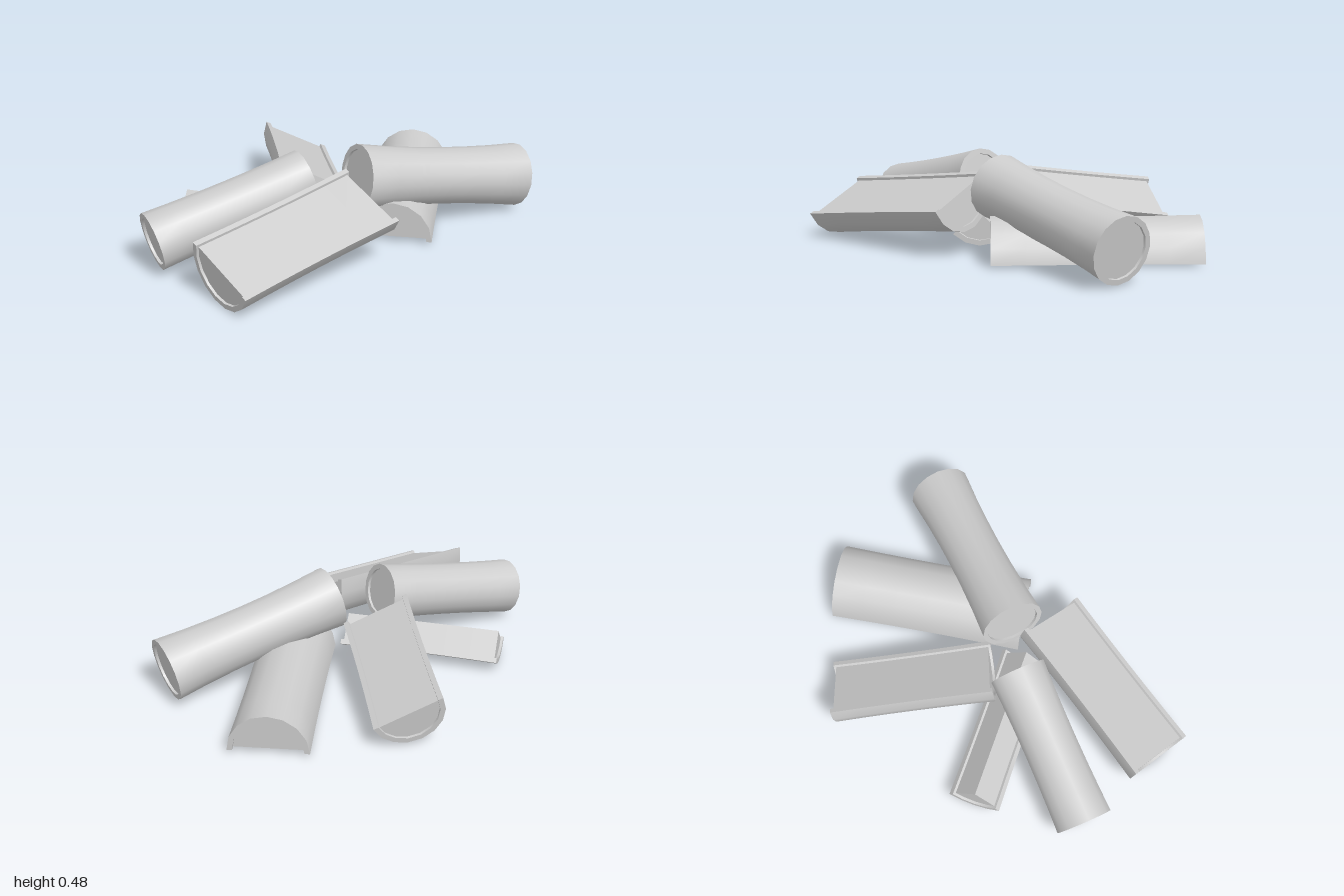
import * as THREE from 'three';
import { toCreasedNormals } from 'three/addons/utils/BufferGeometryUtils.js';

const BARK = 0.026; // bark thickness
const LIP = 0.013;  // how far the wood sits behind the bark edge

const wood = new THREE.MeshStandardMaterial({ color: 0xcccccc });
wood.name = 'plain grey';

const polar = (r, a) => new THREE.Vector2(r * Math.cos(a), r * Math.sin(a));

function arc(r, from, to, n) {
  return Array.from({ length: n + 1 }, (_, i) => polar(r, from + ((to - from) * i) / n));
}

// Extrude a profile along z and pinch it gently at the middle
function prism(shape, length, fullLength, waist) {
  const geo = new THREE.ExtrudeGeometry(shape, { depth: length, steps: 6, bevelEnabled: false });
  geo.translate(0, 0, -length / 2);
  const p = geo.attributes.position;
  for (let i = 0; i < p.count; i++) {
    const t = (2 * p.getZ(i)) / fullLength;
    const s = 1 - waist * (1 - t * t);
    p.setXY(i, p.getX(i) * s, p.getY(i) * s);
  }
  return toCreasedNormals(geo, 0.6);
}

// spread: angle of the split piece, centred below the split; 2 PI is a whole log
function makeLog({ name, from, to, up, r, spread, waist }) {
  const a = new THREE.Vector3(...from), b = new THREE.Vector3(...to);
  const length = a.distanceTo(b);
  const inner = r - BARK;
  const whole = spread > 6;
  let barkShape, coreShape;
  if (whole) {
    barkShape = new THREE.Shape(arc(r, 0, Math.PI * 2, 16).slice(0, -1));
    barkShape.holes.push(new THREE.Path(arc(inner, 0, Math.PI * 2, 16).slice(0, -1).reverse()));
    coreShape = new THREE.Shape(arc(inner + 0.002, 0, Math.PI * 2, 16).slice(0, -1));
  } else {
    const a0 = -Math.PI / 2 - spread / 2, a1 = a0 + spread;
    const n = Math.round(spread / (Math.PI / 8));
    barkShape = new THREE.Shape([...arc(r, a0, a1, n), ...arc(inner, a1, a0, n)]);
    const e = LIP / inner;
    const apex = new THREE.Vector2(0, -LIP / Math.sin(spread / 2));
    coreShape = new THREE.Shape([...arc(inner + 0.002, a0 + e, a1 - e, n), apex]);
  }

  const log = new THREE.Group();
  log.name = name;
  const bark = new THREE.Mesh(prism(barkShape, length, length, waist), wood);
  bark.name = 'bark';
  const core = new THREE.Mesh(prism(coreShape, length - 2 * LIP, length, waist), wood);
  core.name = 'core';
  log.add(bark, core);

  // Lay the log between its two end centres, split side facing up vector
  const z = b.clone().sub(a).normalize();
  const x = new THREE.Vector3(...up).cross(z).normalize();
  const y = z.clone().cross(x);
  log.quaternion.setFromRotationMatrix(new THREE.Matrix4().makeBasis(x, y, z));
  log.position.copy(a).add(b).multiplyScalar(0.5);
  return log;
}

export function createModel() {
  const model = new THREE.Group();
  model.name = 'firewood';
  const FULL = Math.PI * 2, HALF = Math.PI, QUARTER = Math.PI / 2;
  const logs = [
    { name: 'wholeLogRight', from: [-0.967, 0.16, 0.04], to: [-0.18, 0.337, 0.155],
      up: [0, 1, 0], r: 0.145, spread: FULL, waist: 0.06 },
    { name: 'wholeLogLeft', from: [0.05, 0.33, 0.275], to: [0.967, 0.172, 0.41],
      up: [0, 1, 0], r: 0.163, spread: FULL, waist: 0.12 },
    { name: 'halfLogFaceDown', from: [0.155, 0.02, 0.43], to: [0.85, 0.02, -0.3],
      up: [0, -1, 0], r: 0.198, spread: HALF, waist: 0.03 },
    { name: 'halfLogFront', from: [-0.9, 0.205, 0.55], to: [-0.005, 0.325, 0.475],
      up: [-0.035, 0.335, 0.14], r: 0.2, spread: HALF, waist: 0.03 },
    { name: 'halfLogBack', from: [-0.075, 0.31, 0.065], to: [0.3, 0.195, -0.66],
      up: [0.126, 0.259, 0.024], r: 0.18, spread: HALF, waist: 0.03 },
    { name: 'quarterLog', from: [-0.575, 0.205, -0.355], to: [-0.065, 0.205, 0.295],
      up: [0, 1, 0], r: 0.187, spread: QUARTER, waist: 0.03 },
  ];
  for (const l of logs) model.add(makeLog(l));
  return model;
}
